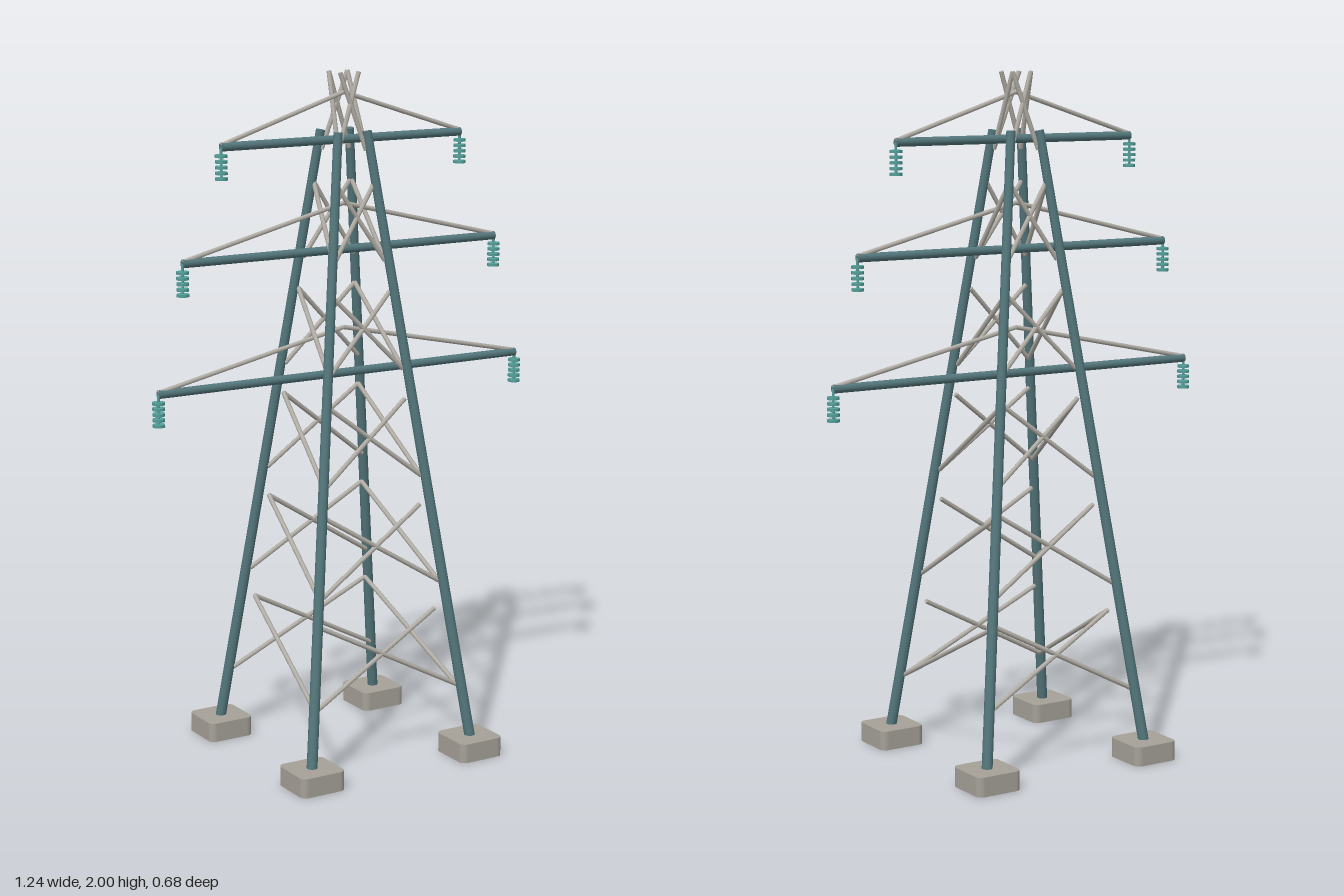
import * as THREE from 'three';

const mat = (color) => new THREE.MeshStandardMaterial({ color });
const steel = mat(0x54777c);
const strut = mat(0xb3afa7);
const concrete = mat(0xa5a198);
const glass = mat(0x55a09a);
const UP = new THREE.Vector3(0, 1, 0);

// Round bar between two points, optionally tapered
function bar(name, a, b, r0, r1, material, sides = 10) {
  const p = new THREE.Vector3(...a), q = new THREE.Vector3(...b);
  const d = q.clone().sub(p);
  const mesh = new THREE.Mesh(new THREE.CylinderGeometry(r1, r0, d.length(), sides), material);
  mesh.position.copy(p).add(q).multiplyScalar(0.5);
  mesh.quaternion.setFromUnitVectors(UP, d.normalize());
  mesh.name = name;
  return mesh;
}

// Square block with rounded upright edges
function footingGeometry(size, height, r) {
  const h = size / 2, s = new THREE.Shape();
  s.absarc(h - r, h - r, r, 0, Math.PI / 2);
  s.absarc(-h + r, h - r, r, Math.PI / 2, Math.PI);
  s.absarc(-h + r, -h + r, r, Math.PI, Math.PI * 1.5);
  s.absarc(h - r, -h + r, r, Math.PI * 1.5, Math.PI * 2);
  return new THREE.ExtrudeGeometry(s, { depth: height, bevelEnabled: false, curveSegments: 4 }).rotateX(-Math.PI / 2);
}

// Hanging stack of discs on a thin core
function insulator(x, y) {
  const g = new THREE.Group();
  g.name = 'insulator';
  g.add(bar('insulatorCore', [x, y - 0.09, 0], [x, y, 0], 0.004, 0.004, glass, 8));
  for (let i = 0; i < 5; i++) {
    const disc = new THREE.Mesh(new THREE.CylinderGeometry(0.018, 0.018, 0.008, 14), glass);
    disc.position.set(x, y - 0.025 - i * 0.0158, 0);
    disc.name = 'insulatorDisc';
    g.add(disc);
  }
  return g;
}

export function createModel() {
  const tower = new THREE.Group();
  tower.name = 'latticeTower';

  // Footings and leaning legs
  const footGeo = footingGeometry(0.143, 0.057, 0.02);
  for (const sx of [-1, 1]) for (const sz of [-1, 1]) {
    const foot = new THREE.Mesh(footGeo, concrete);
    foot.position.set(sx * 0.27, 0, sz * 0.27);
    foot.name = 'footing';
    tower.add(foot);
    tower.add(bar('leg', [sx * 0.271, 0.05, sz * 0.271], [sx * 0.048, 1.83, sz * 0.048], 0.0155, 0.013, steel, 12));
  }

  // Six tiers of bracing: crosses front and back, single diagonals on the sides
  const braces = new THREE.Group();
  braces.name = 'braces';
  const r = 0.0068;
  for (let i = 0; i < 6; i++) {
    const y0 = 0.21 + i * 0.313, y1 = 0.438 + i * 0.3115;
    const w0 = 0.241 - i * 0.039, w1 = 0.193 - i * 0.0325;
    for (const s of [-1, 1]) {
      for (const m of [-1, 1]) {
        braces.add(bar('crossBrace', [-m * w0, y0, s * w0], [m * w1, y1, s * w1], r, r, strut, 8));
      }
      braces.add(bar('sideBrace', [s * w0, y0, w0], [s * w1, y1, -w1], r, r, strut, 8));
    }
  }
  tower.add(braces);

  // Crossarms with tie rods and insulators
  for (const [y, half] of [[1.13, 0.602], [1.49, 0.521], [1.805, 0.396]]) {
    const arm = new THREE.Group();
    arm.name = 'crossarm';
    arm.add(bar('armBeam', [-half, y, 0], [half, y, 0], 0.0125, 0.0125, steel, 12));
    for (const s of [-1, 1]) {
      arm.add(bar('tieRod', [s * half, y + 0.005, 0], [0, y + 0.133, 0], 0.0065, 0.0065, strut, 8));
      arm.add(insulator(s * half, y));
    }
    tower.add(arm);
  }
  return tower;
}
